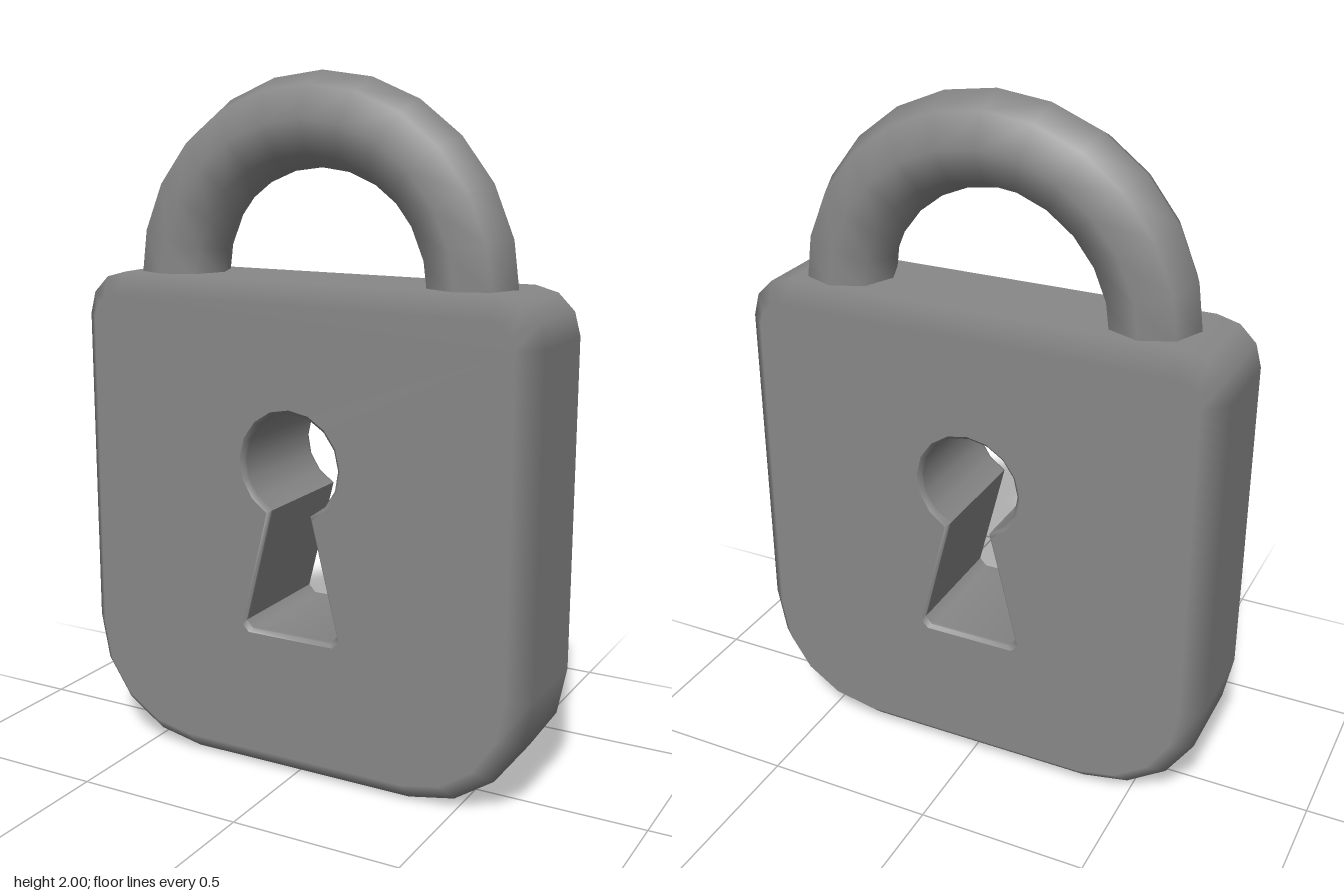
import * as THREE from 'three';
import { toCreasedNormals } from 'three/addons/utils/BufferGeometryUtils.js';

const material = new THREE.MeshStandardMaterial({ color: 0x888888 });
const HALF_W = 0.713, HEIGHT = 1.433, HALF_D = 0.193, CHAMFER = 0.06, RIM = 0.01;

// Body outline, counter-clockwise: points with their outward normals
function bodyOutline() {
  const corners = [[1, 1, 0.13, 3], [-1, 1, 0.13, 3], [-1, 0, 0.36, 4], [1, 0, 0.36, 4]];
  return corners.flatMap(([side, top, r, steps], k) =>
    Array.from({ length: steps + 1 }, (_, i) => {
      const a = (k + i / steps) * Math.PI / 2;
      const n = new THREE.Vector2(Math.cos(a), Math.sin(a));
      const p = new THREE.Vector2(side * (HALF_W - r), top ? HEIGHT - r : r).addScaledVector(n, r);
      return { p, n };
    }));
}

// Keyhole outline, counter-clockwise, widened by g
function keyhole(g) {
  const r = 0.15 + g, neck = 0.063 + g, w = 0.148 + g, bottom = 0.432 - g, cut = 0.022;
  const start = -Math.acos(neck / r), steps = 14, pts = [];
  for (let i = 0; i <= steps; i++) {
    const a = start + (Math.PI - 2 * start) * i / steps;
    pts.push(new THREE.Vector2(r * Math.cos(a), 0.928 + r * Math.sin(a)));
  }
  for (const [x, y] of [[-w, bottom + cut], [-w + cut, bottom], [w - cut, bottom], [w, bottom + cut]])
    pts.push(new THREE.Vector2(x, y));
  return pts;
}

// Closed skin through rings ordered front to back; ring = { pts, z, normals? }
function loft(rings) {
  const pos = [], nor = [], index = [], n = rings[0].pts.length;
  rings.forEach(({ pts, z, normals }, k) => pts.forEach((p, i) => {
    pos.push(p.x, p.y, z);
    if (normals) nor.push(...normals[i]);
    if (k === 0) return;
    const j = (i + 1) % n, a = (k - 1) * n, b = k * n;
    index.push(a + i, b + i, b + j, a + i, b + j, a + j);
  }));
  const geo = new THREE.BufferGeometry();
  geo.setAttribute('position', new THREE.Float32BufferAttribute(pos, 3));
  if (nor.length) geo.setAttribute('normal', new THREE.Float32BufferAttribute(nor, 3));
  geo.setIndex(index);
  return geo;
}

export function createModel() {
  const model = new THREE.Group();
  const add = (name, geometry) => {
    const mesh = new THREE.Mesh(geometry, material);
    mesh.name = name;
    model.add(mesh);
    return mesh;
  };

  // Side wall with softly shaded chamfers
  const outline = bodyOutline();
  const inner = outline.map(({ p, n }) => p.clone().addScaledVector(n, -CHAMFER));
  const full = outline.map(({ p }) => p);
  const sideNormals = outline.map(({ n }) => [n.x, n.y, 0]);
  const edge = s => ({ pts: inner, z: s * HALF_D, normals: outline.map(() => [0, 0, s]) });
  const wall = s => ({ pts: full, z: s * (HALF_D - CHAMFER), normals: sideNormals });
  add('bodyWall', loft([edge(1), wall(1), wall(-1), edge(-1)]));

  // Front and back faces with the keyhole opening
  const face = new THREE.Shape(inner);
  face.holes.push(new THREE.Path(keyhole(RIM)));
  const faceGeometry = new THREE.ShapeGeometry(face);
  add('frontFace', faceGeometry).position.z = HALF_D;
  const back = add('backFace', faceGeometry);
  back.position.z = -HALF_D;
  back.rotation.y = Math.PI;

  // Keyhole tunnel with a narrow, softly shaded rim at both ends
  const wide = keyhole(RIM).reverse(), narrow = keyhole(0).reverse();
  add('keyholeTunnel', toCreasedNormals(loft([
    { pts: wide, z: HALF_D }, { pts: narrow, z: HALF_D - RIM }, { pts: narrow, z: HALF_D - 2 * RIM },
    { pts: narrow, z: 2 * RIM - HALF_D }, { pts: narrow, z: RIM - HALF_D }, { pts: wide, z: -HALF_D },
  ]), 0.9));

  // Shackle: half ring whose ends sink into the body
  add('shackle', new THREE.TorusGeometry(0.459, 0.131, 8, 12, Math.PI)).position.y = 1.41;

  return model;
}
